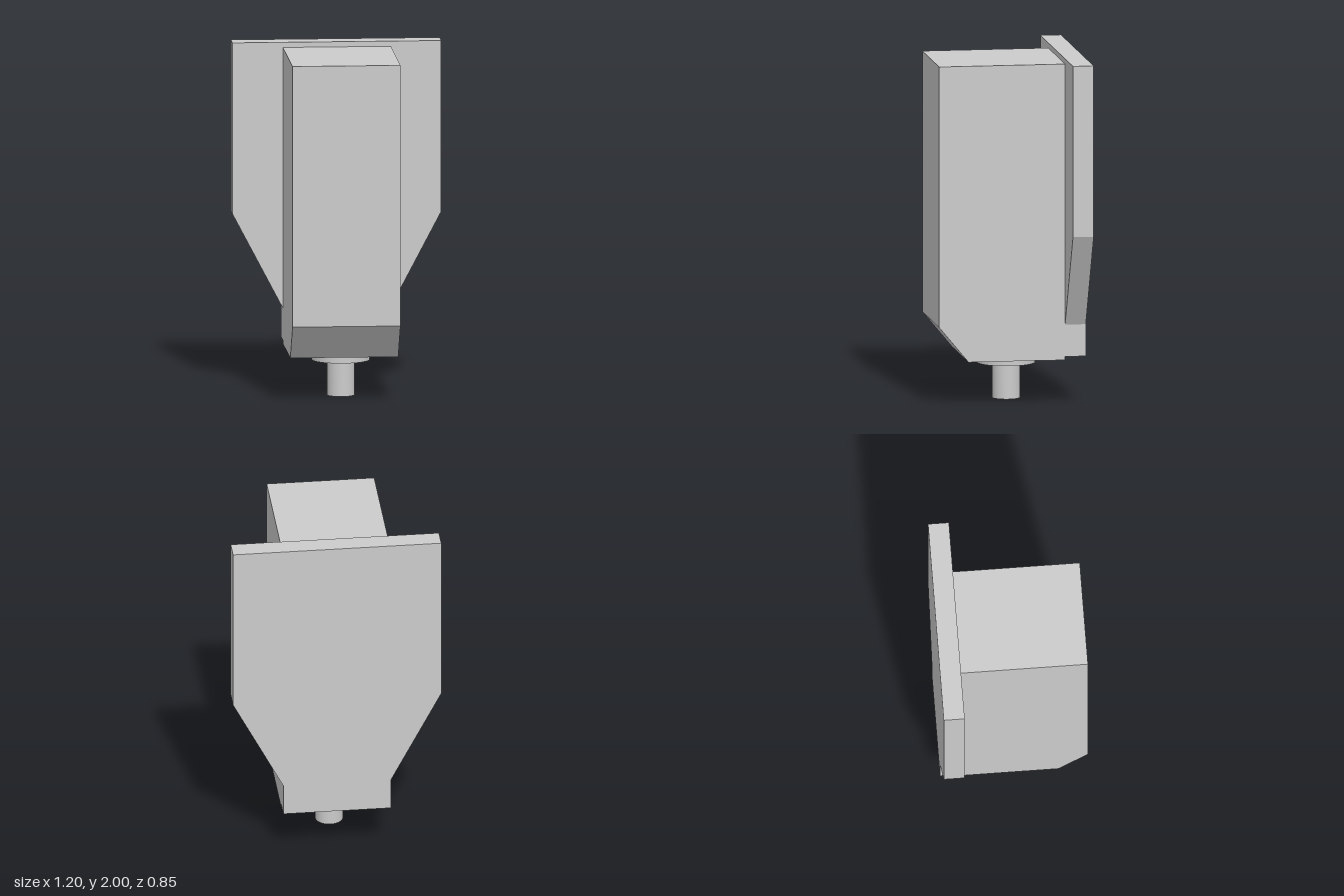
import * as THREE from 'three';
import { toCreasedNormals } from 'three/addons/utils/BufferGeometryUtils.js';

const material = new THREE.MeshStandardMaterial({ color: 0xcccccc });
const vectors = (points) => points.map(([x, y]) => new THREE.Vector2(x, y));

function addPart(group, name, geometry) {
  const mesh = new THREE.Mesh(geometry, material);
  mesh.name = name;
  group.add(mesh);
  return mesh;
}

// Extrudes an outline, centred on its depth
function slab(points, depth) {
  const geometry = new THREE.ExtrudeGeometry(new THREE.Shape(vectors(points)), { depth, bevelEnabled: false });
  return geometry.translate(0, 0, -depth / 2);
}

// Turned part with sharp rims and smooth walls
function turned(points) {
  return toCreasedNormals(new THREE.LatheGeometry(vectors(points), 48), 0.6);
}

export function createModel() {
  const group = new THREE.Group();
  group.name = 'spindleHead';
  const backZ = -0.305; // where housing and plate meet
  const axisZ = -0.012; // spindle axis

  // Housing: side outline (z, y) with a chamfered lower front edge
  const housing = slab([
    [backZ, 0.255], [0.255, 0.255], [0.425, 0.46], [0.425, 1.97], [backZ, 1.97],
  ], 0.62);
  addPart(group, 'housing', housing.rotateY(-Math.PI / 2));

  // Mounting plate: wide at the top, tapering to the housing width
  const half = [[0.31, 0.275], [0.31, 0.46], [0.6, 1.01], [0.6, 2]];
  const mirrored = half.map(([x, y]) => [-x, y]).reverse();
  addPart(group, 'mountingPlate', slab([...half, ...mirrored], 0.12)).position.z = backZ - 0.06;

  // Collar under the housing
  addPart(group, 'collar', turned([
    [0, 0.205], [0.167, 0.205], [0.167, 0.255], [0, 0.255],
  ])).position.z = axisZ;

  // Spindle with a small centre bore in its end
  addPart(group, 'spindle', turned([
    [0, 0.1], [0.013, 0.1], [0.013, 0], [0.08, 0], [0.08, 0.205],
  ])).position.z = axisZ;

  return group;
}
